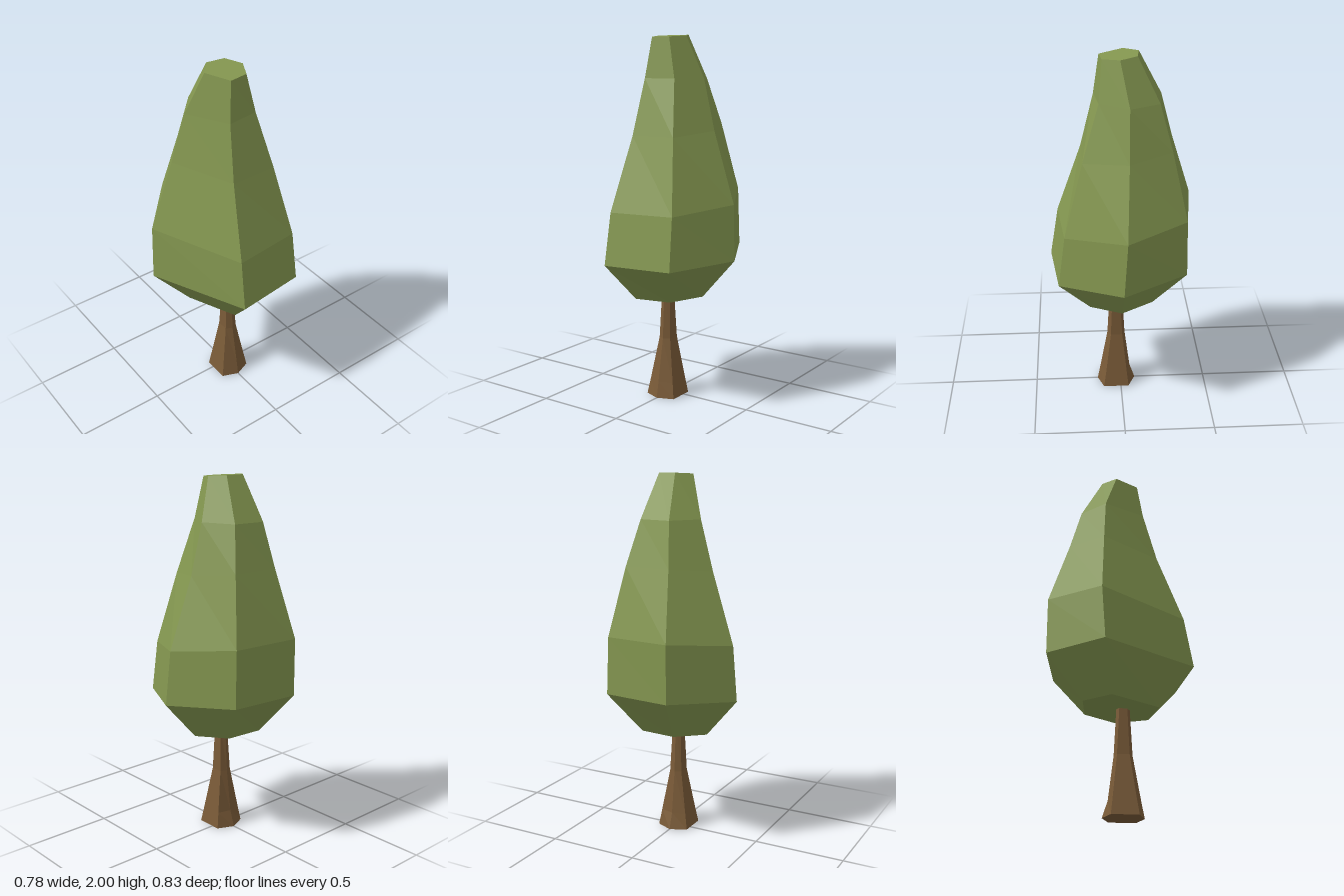
import * as THREE from 'three';

// Skin stacked six-sided rings of [x, y, z] points, bottom to top, with flat caps.
function loft(rings) {
  const pos = [];
  const tri = (...pts) => pts.forEach((p) => pos.push(...p));
  const n = rings[0].length;
  for (let r = 0; r < rings.length - 1; r++) {
    const low = rings[r], up = rings[r + 1];
    for (let i = 0; i < n; i++) {
      const j = (i + 1) % n;
      tri(low[i], up[i], up[j]);
      tri(low[i], up[j], low[j]);
    }
  }
  const bottom = rings[0], top = rings[rings.length - 1];
  for (let i = 1; i < n - 1; i++) {
    tri(bottom[0], bottom[i], bottom[i + 1]);
    tri(top[0], top[i + 1], top[i]);
  }
  const geo = new THREE.BufferGeometry();
  geo.setAttribute('position', new THREE.Float32BufferAttribute(pos, 3));
  geo.computeVertexNormals();
  return geo;
}

// Ring at a height, tilted along x by a slope.
const ring = (y, slope, pts) => pts.map(([x, z]) => [x, y + slope * x, z]);

// Trunk ring: stretched hexagon between two x limits, half depth d.
function trunkRing(y, left, right, inLeft, inRight, d) {
  return ring(y, 0, [[left, 0], [inLeft, -d], [inRight, -d], [right, 0], [inRight, d], [inLeft, d]]);
}

export function createModel() {
  const group = new THREE.Group();
  group.name = 'tree';

  const leafGreen = new THREE.MeshStandardMaterial({ color: 0x849750, flatShading: true });
  leafGreen.name = 'leafGreen';
  const barkBrown = new THREE.MeshStandardMaterial({ color: 0x7a5b38, flatShading: true });
  barkBrown.name = 'barkBrown';

  // Flared trunk, ending just inside the crown
  const trunk = new THREE.Mesh(loft([
    trunkRing(0, -0.085, 0.135, -0.045, 0.1, 0.09),
    trunkRing(0.09, -0.055, 0.118, -0.035, 0.087, 0.075),
    trunkRing(0.33, -0.025, 0.075, -0.01, 0.056, 0.036),
    trunkRing(0.61, -0.01, 0.06, 0.004, 0.045, 0.025),
  ]), barkBrown);
  trunk.name = 'trunk';

  // Tapering, slightly lopsided crown
  const crown = new THREE.Mesh(loft([
    ring(0.588, -0.06, [[0, -0.215], [0.175, -0.12], [0.21, 0.085], [-0.05, 0.215], [-0.195, 0.085], [-0.175, -0.12]]),
    ring(0.812, -0.07, [[0, -0.415], [0.345, -0.235], [0.39, 0.155], [-0.1, 0.415], [-0.395, 0.15], [-0.35, -0.235]]),
    ring(1.108, -0.12, [[-0.02, -0.395], [0.307, -0.225], [0.345, 0.147], [-0.117, 0.397], [-0.395, 0.15], [-0.345, -0.225]]),
    ring(1.49, -0.11, [[-0.035, -0.26], [0.205, -0.16], [0.21, 0.1], [-0.1, 0.268], [-0.283, 0.105], [-0.265, -0.16]]),
    ring(1.767, 0.02, [[-0.04, -0.19], [0.115, -0.105], [0.138, 0.07], [-0.087, 0.19], [-0.22, 0.074], [-0.2, -0.105]]),
    ring(1.993, -0.07, [[0.005, -0.105], [0.096, -0.058], [0.108, 0.044], [-0.02, 0.11], [-0.098, 0.044], [-0.085, -0.058]]),
  ]), leafGreen);
  crown.name = 'crown';

  group.add(trunk, crown);
  return group;
}
